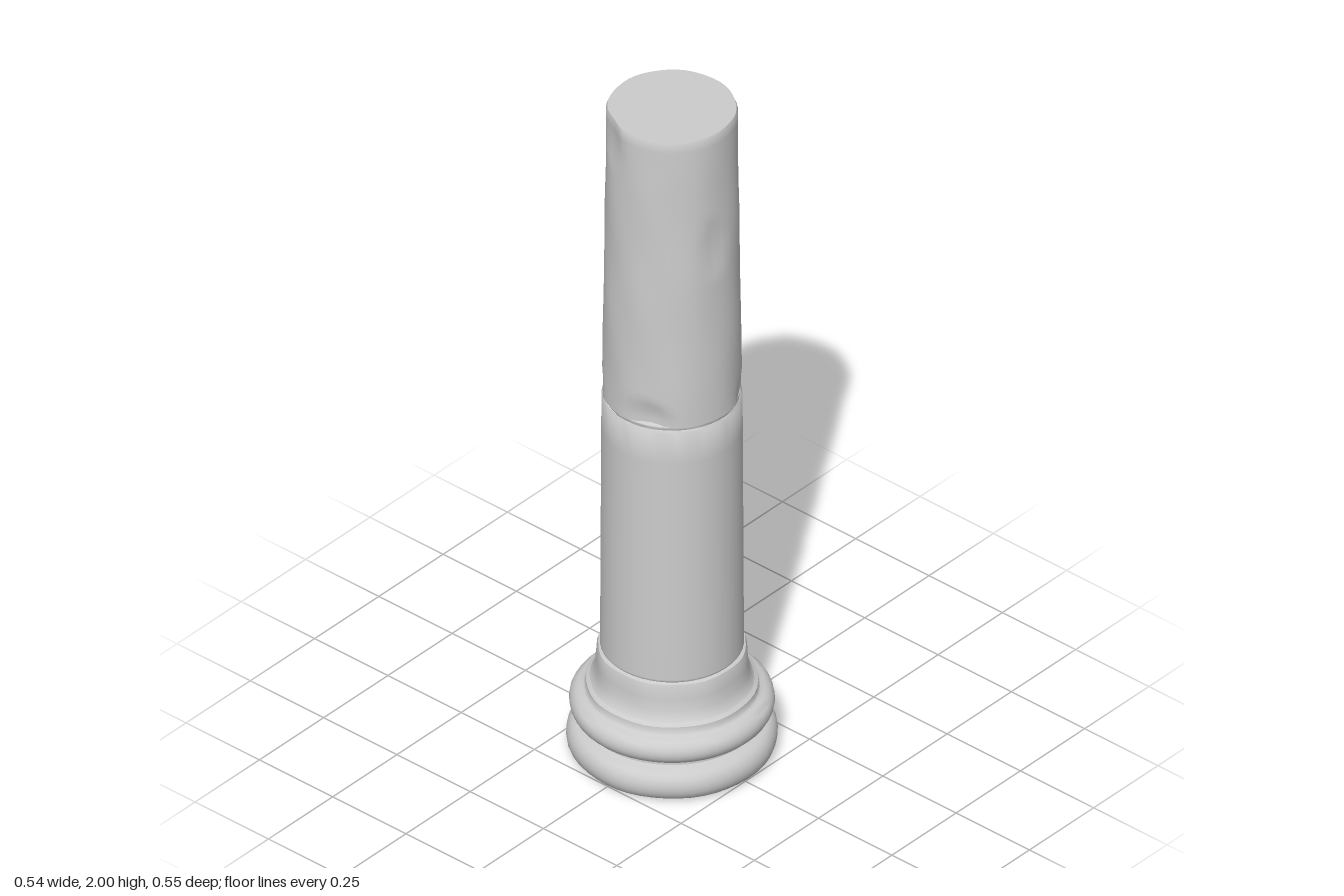
import * as THREE from 'three';
import { mergeVertices, toCreasedNormals } from 'three/addons/utils/BufferGeometryUtils.js';

const SIDES = 48;
const stone = new THREE.MeshStandardMaterial({ color: 0xcccccc });

// Lathe a [radius, height] profile, then reshape each radius with rule(r, y, angle)
function turned(name, profile, rule) {
  let geo = new THREE.LatheGeometry(profile.map(([r, y]) => new THREE.Vector2(r, y)), SIDES);
  geo.deleteAttribute('uv');
  geo.deleteAttribute('normal');
  geo = mergeVertices(geo, 1e-5);
  const p = geo.attributes.position;
  for (let i = 0; i < p.count; i++) {
    const x = p.getX(i), y = p.getY(i), z = p.getZ(i);
    const r = Math.hypot(x, z);
    if (r < 1e-4) continue;
    const k = rule(r, y, Math.atan2(x, z)) / r;
    p.setXYZ(i, x * k, y, z * k);
  }
  const mesh = new THREE.Mesh(toCreasedNormals(geo, 0.75), stone);
  mesh.name = name;
  return mesh;
}

// Half-round moulding cross-section between two heights
function roll(inner, outer, y0, y1) {
  const pts = [];
  for (let i = 0; i <= 10; i++) {
    const t = -Math.PI / 2 + (Math.PI * i) / 10;
    pts.push([inner + (outer - inner) * Math.cos(t), (y0 + y1) / 2 + ((y1 - y0) / 2) * Math.sin(t)]);
  }
  return pts;
}

// Straight tapering cross-section split into rows
function taper(r0, y0, r1, y1, rows) {
  return Array.from({ length: rows + 1 }, (_, i) => [r0 + ((r1 - r0) * i) / rows, y0 + ((y1 - y0) * i) / rows]);
}

// Gentle wear, periodic around the column
const wear = (y, a) => Math.sin(3 * a + 7 * y) * Math.sin(5 * a - 11 * y + 1) + 0.5 * Math.sin(8 * a + 17 * y);

// Dents in the upper shaft: angle, height, half angle, half height, depth
const dents = [
  [0.35, 1.13, 0.4, 0.06, 0.014], [-1.0, 1.14, 0.3, 0.06, 0.012],
  [-2.7, 1.14, 0.35, 0.07, 0.016], [2.2, 1.13, 0.3, 0.04, 0.008],
  [-0.45, 1.95, 0.3, 0.09, 0.009], [1.4, 1.65, 0.25, 0.1, 0.007],
  [-2.5, 1.45, 0.35, 0.16, 0.009], [2.6, 1.7, 0.3, 0.1, 0.006],
];
function dented(r, y, a) {
  let out = r + 0.0012 * wear(y, a);
  for (const [da, dy, wa, wy, depth] of dents) {
    const turn = Math.atan2(Math.sin(a - da), Math.cos(a - da));
    const d = Math.hypot(turn / wa, (y - dy) / wy);
    if (d < 1) out -= depth * (1 - d * d);
  }
  return out;
}

// Broken patch at the back of the upper moulding: two fracture planes [nx, nz, distance]
const fractures = [[-0.42, -0.907, 0.224], [-0.15, -0.989, 0.246]];
function broken(r, y, a) {
  let out = r + 0.0015 * wear(y, a);
  if (y < 0.125) return out;
  for (const [nx, nz, dist] of fractures) {
    const reach = nx * Math.sin(a) + nz * Math.cos(a);
    const limit = dist + Math.max(0, 0.16 - y) * 0.8;
    if (reach > 0.3) out = Math.min(out, limit / reach);
  }
  return out;
}

export function createModel() {
  const column = new THREE.Group();
  column.name = 'column';

  column.add(turned('lowerBaseMoulding',
    [[0, 0], [0.235, 0], ...roll(0.238, 0.272, 0.002, 0.09), [0.228, 0.095], [0.226, 0.115]],
    (r, y, a) => r + 0.001 * wear(y, a)));

  column.add(turned('upperBaseMoulding',
    [[0.222, 0.1], ...roll(0.228, 0.265, 0.11, 0.187), [0.223, 0.192], [0.222, 0.208], [0.212, 0.215]],
    broken));

  // Flared collar below the shaft
  column.add(turned('collar',
    [[0.222, 0.205], [0.213, 0.213], [0.205, 0.226], [0.199, 0.245], [0.196, 0.275], [0.194, 0.305], [0.19, 0.318], [0.178, 0.322]],
    (r, y, a) => r + 0.0018 * wear(y, a)));

  column.add(turned('lowerShaft',
    [[0.178, 0.318], [0.185, 0.326], ...taper(0.185, 0.33, 0.1815, 1.1, 8), [0.176, 1.107]],
    (r) => r));

  // Shaft joint, seen as a thin groove
  column.add(turned('joint', [[0.17, 1.1], [0.174, 1.106], [0.174, 1.114], [0.165, 1.122]], (r) => r));

  column.add(turned('upperShaft',
    [[0, 1.111], [0.172, 1.111], ...taper(0.18, 1.116, 0.169, 1.99, 44), [0.165, 2], [0, 2]],
    dented));

  return column;
}
